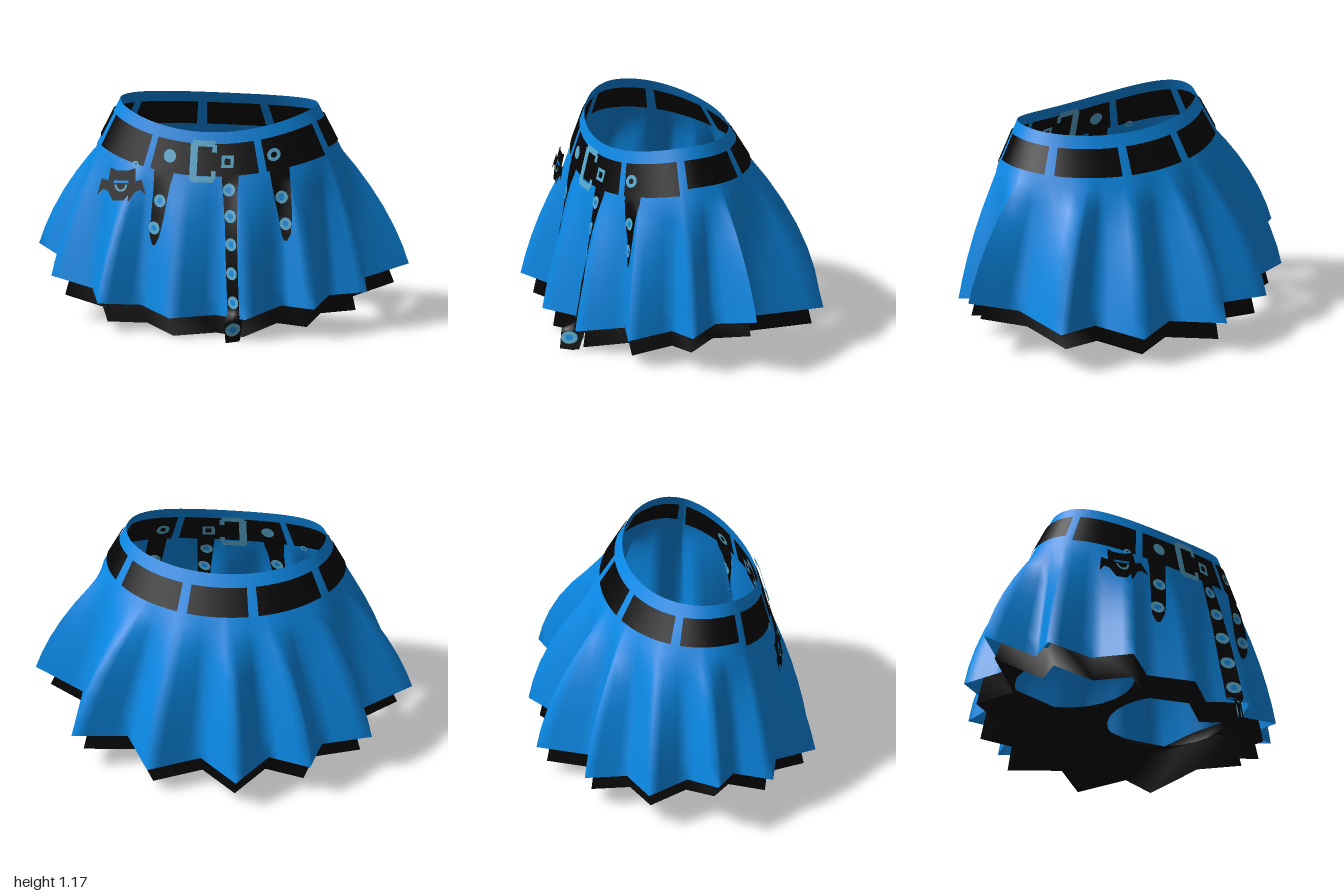
import * as THREE from 'three';

const mat = (name, color) => {
  const m = new THREE.MeshStandardMaterial({ color, side: THREE.DoubleSide });
  m.name = name;
  return m;
};

// Hem of the skirt: pleat tips (even) and valleys (odd), as x, y, z
const HEM = [
  [1, .32, 0], [.76, .25, .13], [.84, .22, .3], [.64, .2, .33], [.61, .17, .57], [.42, .17, .5],
  [.27, .13, .72], [.08, .12, .58], [-.14, .12, .72], [-.33, .15, .55], [-.54, .17, .66], [-.62, .2, .42],
  [-.86, .24, .34], [-.76, .25, .15], [-1, .34, 0], [-.75, .25, -.1], [-.82, .23, -.33], [-.56, .2, -.38],
  [-.52, .2, -.6], [-.29, .18, -.5], [-.14, .18, -.76], [.07, .17, -.53], [.34, .17, -.67], [.47, .2, -.41],
  [.76, .24, -.5], [.74, .25, -.1]];

// Point on the smooth waistband: angle t, distance d below the rim
function waist(t, d, out = 0) {
  const c = Math.cos(t), s = Math.sin(t), front = s > 0;
  return new THREE.Vector3(
    (.53 + .5 * d + out) * c,
    1.18 - (front ? .1 : .03) * s * s - d,
    .12 + s * (.34 + (front ? .25 : .6) * d + out));
}

// Grid of points turned into a smooth surface
function gridGeometry(rows) {
  const n = rows[0].length, index = [];
  for (let r = 0; r < rows.length - 1; r++)
    for (let i = 0; i < n - 1; i++) {
      const a = r * n + i, b = a + n;
      index.push(a, a + 1, b, a + 1, b + 1, b);
    }
  const g = new THREE.BufferGeometry().setFromPoints(rows.flat());
  g.setIndex(index);
  g.computeVertexNormals();
  return g;
}

function skirtGeometry() {
  const SUB = 4, columns = [];
  let last = -1;
  const angles = HEM.map(([x, , z]) => {
    let t = Math.atan2((z - .12) / .4, x / .6);
    while (t < last) t += Math.PI * 2;
    return (last = t);
  });
  for (let i = 0; i < HEM.length; i++) {
    const j = (i + 1) % HEM.length, tj = angles[j] + (j ? 0 : Math.PI * 2);
    for (let k = 0; k < SUB; k++) {
      const f = k / SUB, t = THREE.MathUtils.lerp(angles[i], tj, f);
      columns.push({
        t,
        hem: new THREE.Vector3(...HEM[i]).lerp(new THREE.Vector3(...HEM[j]), f),
        bulge: (.45 - .25 * Math.min(0, Math.sin(t))) * (i % 2 ? f : 1 - f),
      });
    }
  }
  columns.push(columns[0]);
  const rows = [0, .12, .25].map(d => columns.map(c => waist(c.t, d)));
  for (const u of [.15, .32, .5, .68, .85, 1])
    rows.push(columns.map(c => {
      const p = waist(c.t, .25), g = u + c.bulge * u * (1 - u);
      return new THREE.Vector3(
        THREE.MathUtils.lerp(p.x, c.hem.x, g),
        THREE.MathUtils.lerp(p.y, c.hem.y, u),
        THREE.MathUtils.lerp(p.z, c.hem.z, g));
    }));
  return gridGeometry(rows);
}

// Underskirt ring: the pleats again, drawn in by a factor, height given by a rule
const underRing = (k, height) => HEM.map(([x, y, z]) => new THREE.Vector3(x * k, height(y), z * k));
const underTop = underRing(.86, y => .24 + .4 * y);

// Pleated frill showing below the skirt
function frillGeometry() {
  const rows = [underTop, underRing(.92, y => y - .105)];
  return gridGeometry(rows.map(r => [...r, r[0]]));
}

// Panel closing the frill, with two leg openings
function panelGeometry() {
  const shape = new THREE.Shape(underTop.map(p => new THREE.Vector2(p.x, p.z)));
  for (const side of [-1, 1])
    shape.holes.push(new THREE.Path().absellipse(side * .345, .02, .3, .335, 0, Math.PI * 2));
  const g = new THREE.ShapeGeometry(shape, 12), p = g.attributes.position;
  for (let i = 0; i < p.count; i++) {
    const x = p.getX(i), z = p.getY(i);
    const rim = underTop.find(q => Math.hypot(q.x - x, q.z - z) < 1e-4);
    p.setXYZ(i, x, rim ? rim.y : .28, z);
  }
  g.computeVertexNormals();
  return g;
}

export function createModel() {
  const blue = mat('blue cloth', 0x0a88e4), black = mat('black leather', 0x050505), metal = mat('pale metal', 0x58a8cc);
  const group = new THREE.Group();
  const add = (name, geometry, material, parent = group) => {
    const m = new THREE.Mesh(geometry, material);
    m.name = name;
    parent.add(m);
    return m;
  };

  const skirt = add('skirt', skirtGeometry(), blue);
  add('underskirtFrill', frillGeometry(), black);
  add('underskirtPanel', panelGeometry(), black);

  // Belt pieces, shown outside and inside the waistband
  const arcs = [[-27, 15], [21, 59], [63, 117], [121, 159], [165, 207], [213, 250], [255, 285], [290, 327]];
  for (const [a, b] of arcs) {
    const isFront = a > 20 && b < 160;
    for (const out of [.007, -.007]) {
      const rows = [.06, isFront ? .225 : .195].map(d => Array.from({ length: 13 }, (_, i) =>
        waist(THREE.MathUtils.degToRad(a + (b - a) * i / 12), d, out)));
      add('beltPiece', gridGeometry(rows), black);
    }
  }

  // Front surface of the skirt at x, y; below the hem, the plane of the loose strap end
  const ray = new THREE.Raycaster();
  const frontZ = (x, y) => {
    ray.set(new THREE.Vector3(x, y, 3), new THREE.Vector3(0, 0, -1));
    const hit = ray.intersectObject(skirt)[0];
    return hit && hit.point.z > .1 ? hit.point.z : .73 - (x - .17) + (.12 - y) * .25;
  };
  // Lay a flat geometry on both sides of the cloth
  const drape = (name, geometry, material, offset) => {
    for (const side of [1, -1]) {
      const g = geometry.clone(), p = g.attributes.position;
      for (let i = 0; i < p.count; i++)
        p.setZ(i, frontZ(p.getX(i), p.getY(i)) + side * offset);
      g.computeVertexNormals();
      add(name, g, material);
    }
  };

  // Hanging straps as rows of y, left x, right x
  const strap = rows => {
    const g = new THREE.PlaneGeometry(1, 1, 4, 30), p = g.attributes.position;
    for (let i = 0; i < p.count; i++) {
      const v = (.5 - p.getY(i)) * (rows.length - 1);
      const k = Math.min(Math.floor(v), rows.length - 2), f = v - k;
      const [y, l, r] = rows[k].map((q, j) => THREE.MathUtils.lerp(q, rows[k + 1][j], f));
      p.setXY(i, THREE.MathUtils.lerp(l, r, p.getX(i) + .5), y);
    }
    drape('strap', g, black, .012);
  };
  strap([[.9, -.27, -.15], [.78, -.27, -.18], [.62, -.28, -.205], [.53, -.285, -.225], [.48, -.268, -.25]]);
  strap([[.88, .1, .19], [.6, .13, .2], [.35, .145, .22], [.1, .165, .24], [.01, .175, .235]]);
  strap([[.93, .34, .44], [.8, .365, .46], [.66, .395, .475], [.56, .415, .47], [.52, .43, .45]]);

  // Eyelets on belt and straps
  const eyelets = [[-.23, .715], [-.258, .57], [.145, .79], [.16, .655], [.17, .51], [.18, .36], [.195, .21],
    [.205, .075], [.415, .75], [.44, .61], [.365, .97]];
  for (const [x, y] of eyelets) {
    drape('eyelet', new THREE.RingGeometry(.015, .034, 14).translate(x, y, 0), metal, .018);
    drape('eyeletCentre', new THREE.CircleGeometry(.015, 10).translate(x, y, 0), x === .365 ? black : blue, .018);
  }
  drape('beltStud', new THREE.CircleGeometry(.035, 14).translate(-.185, .95, 0), metal, .018);
  drape('squareStud', new THREE.RingGeometry(.022, .046, 4, 1, Math.PI / 4).translate(.13, .935, 0), metal, .018);

  // Buckle frame with an open right side
  const bars = [[-.052, .93, .04, .19], [0, 1.025, .12, .032], [0, .84, .12, .032],
    [.058, 1, .025, .04], [.058, .865, .025, .04]];
  for (const [x, y, w, h] of bars)
    drape('buckleBar', new THREE.PlaneGeometry(w, h, 3, 4).translate(x, y, 0), metal, .02);

  // Winged charm hanging from the belt
  const charm = new THREE.Group();
  charm.name = 'charm';
  charm.position.set(-.45, .78, frontZ(-.45, .78) + .03);
  charm.rotation.set(-.25, -.3, 0);
  group.add(charm);
  const outline = [[-.07, .09], [-.035, .075], [.035, .075], [.08, .09], [.085, .02], [.12, .03], [.15, -.05],
    [.115, -.025], [.085, -.035], [.05, -.085], [-.05, -.085], [-.08, -.035], [-.11, -.025], [-.145, -.06],
    [-.12, .03], [-.08, .02]];
  add('charmBody', new THREE.ShapeGeometry(new THREE.Shape(outline.map(q => new THREE.Vector2(...q)))), black, charm);
  add('charmFace', new THREE.PlaneGeometry(.09, .014).translate(0, .015, .004), blue, charm);
  add('charmSmile', new THREE.RingGeometry(.026, .038, 12, 1, Math.PI, Math.PI).translate(0, 0, .006), metal, charm);
  drape('charmLink', new THREE.RingGeometry(.009, .02, 10).translate(-.38, .885, 0), metal, .012);

  return group;
}
